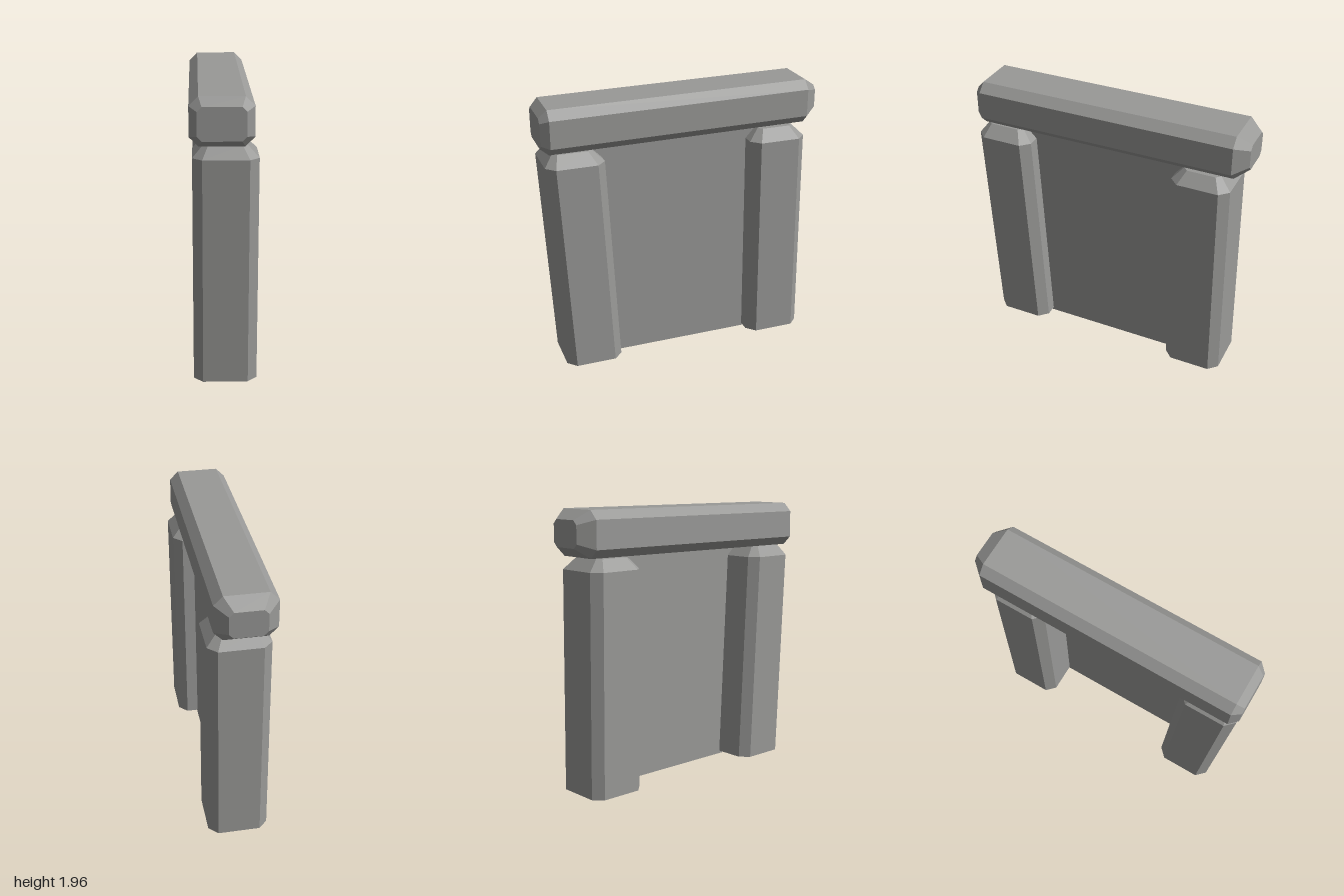
import * as THREE from 'three';

const stone = new THREE.MeshStandardMaterial({ color: 0x999997, flatShading: true });
stone.name = 'grey stone';
const panelStone = new THREE.MeshStandardMaterial({ color: 0x999997, side: THREE.DoubleSide });
panelStone.name = 'grey stone panel';

// Rectangle with cut corners, counter-clockwise
function octagon(u0, u1, v0, v1, c) {
  return [
    [u0 + c, v0], [u1 - c, v0], [u1, v0 + c], [u1, v1 - c],
    [u1 - c, v1], [u0 + c, v1], [u0, v1 - c], [u0, v0 + c],
  ];
}

// Flat-sided block lofted through rings [w, u0, u1, v0, v1, cut], capped at both ends
function block(name, rings, place) {
  const loops = rings.map(([w, ...r]) => octagon(...r).map(([u, v]) => place(u, v, w)));
  const pos = [];
  const tri = (a, b, c) => pos.push(...a, ...b, ...c);
  for (let k = 0; k + 1 < loops.length; k++) {
    const a = loops[k], b = loops[k + 1];
    for (let i = 0; i < 8; i++) {
      const j = (i + 1) % 8;
      tri(a[i], a[j], b[j]);
      tri(a[i], b[j], b[i]);
    }
  }
  const first = loops[0], last = loops[loops.length - 1];
  for (let i = 1; i < 7; i++) {
    tri(first[0], first[i + 1], first[i]);
    tri(last[0], last[i], last[i + 1]);
  }
  const geo = new THREE.BufferGeometry();
  geo.setAttribute('position', new THREE.Float32BufferAttribute(pos, 3));
  geo.computeVertexNormals();
  const mesh = new THREE.Mesh(geo, stone);
  mesh.name = name;
  return mesh;
}

export function createModel() {
  const group = new THREE.Group();
  group.name = 'stoneGateway';

  // Leaning pillars: u = z, v = x, rising along y
  const upright = (z, x, y) => [x, y, z];
  group.add(block('frontPillar', [
    [0.02, 0.50, 0.91, -0.20, 0.22, 0.062],
    [1.555, 0.575, 0.985, -0.20, 0.22, 0.062],
    [1.635, 0.655, 0.925, -0.13, 0.145, 0.03],
  ], upright));
  group.add(block('backPillar', [
    [0.02, -0.917, -0.50, -0.20, 0.22, 0.062],
    [1.555, -0.90, -0.487, -0.20, 0.22, 0.062],
    [1.635, -0.82, -0.56, -0.13, 0.145, 0.03],
  ], upright));

  // Lintel beam: u = x, v = y, running from back to front
  group.add(block('lintel', [
    [-1.0, -0.135, 0.11, 1.714, 1.896, 0.03],
    [-0.905, -0.22, 0.19, 1.647, 1.96, 0.06],
    [0.945, -0.22, 0.19, 1.634, 1.946, 0.06],
    [1.0, -0.17, 0.138, 1.676, 1.89, 0.03],
  ], (x, y, z) => [x, y, z]));

  // Thin infill panel between the pillars, wider at the top
  const outline = new THREE.Shape([
    new THREE.Vector2(-0.53, 0), new THREE.Vector2(0.53, 0),
    new THREE.Vector2(0.68, 1.67), new THREE.Vector2(-0.68, 1.67),
  ]);
  const panel = new THREE.Mesh(new THREE.ShapeGeometry(outline), panelStone);
  panel.name = 'infillPanel';
  panel.rotation.y = Math.PI / 2;
  panel.position.x = 0.075;
  group.add(panel);

  return group;
}
